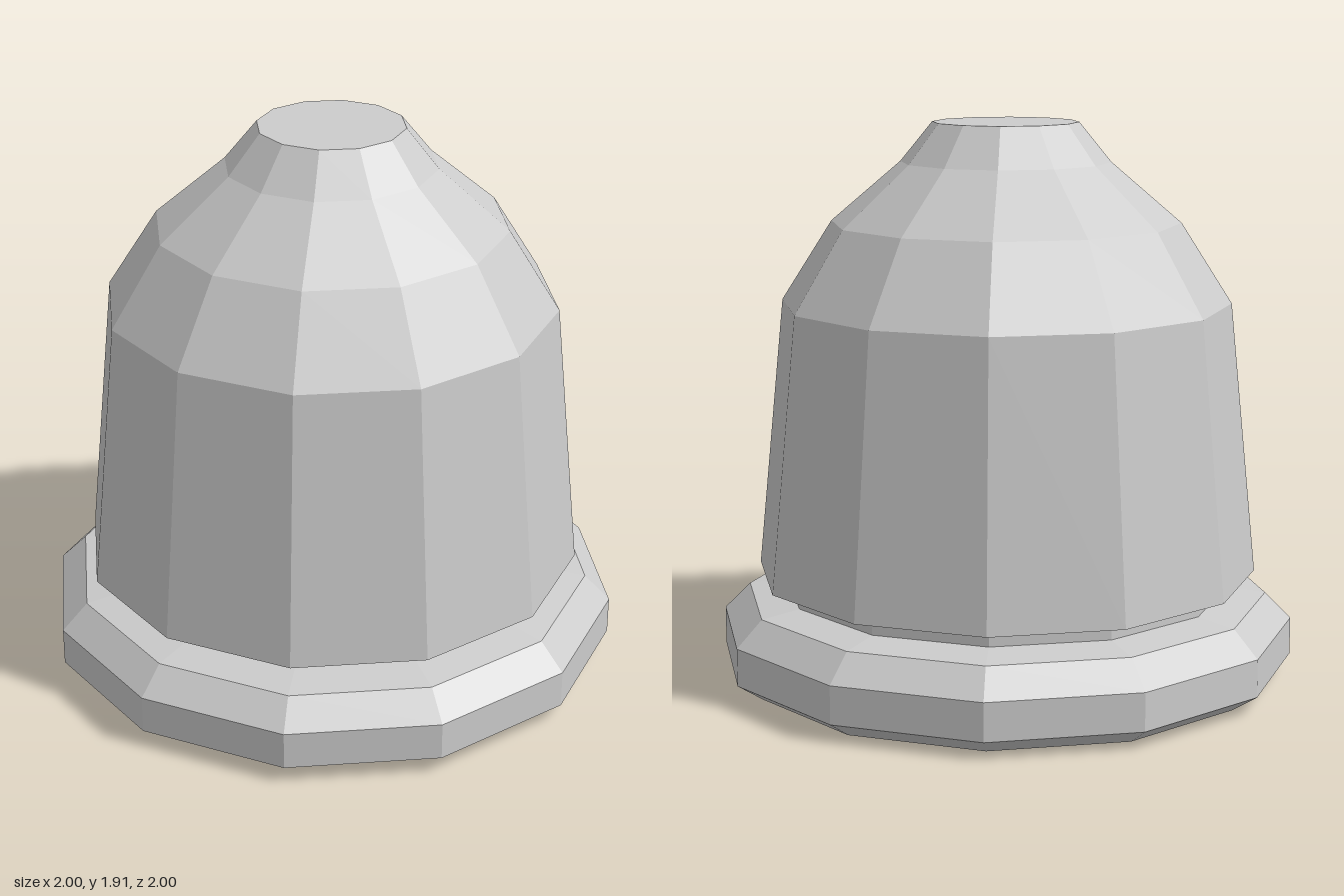
import * as THREE from 'three';

const SIDES = 12;

export function createModel() {
  const group = new THREE.Group();
  const grey = new THREE.MeshStandardMaterial({ color: 0xcccccc });
  grey.name = 'light grey';

  // Faceted turned part from [radius, height] pairs, listed bottom to top
  function turned(name, profile) {
    const points = profile.map(([r, y]) => new THREE.Vector2(r, y));
    const geometry = new THREE.LatheGeometry(points, SIDES).toNonIndexed();
    geometry.computeVertexNormals(); // flat facets
    const mesh = new THREE.Mesh(geometry, grey);
    mesh.name = name;
    group.add(mesh);
  }

  // Chevron-edged foot with a shallow sloping top, running into the neck
  turned('baseAndNeck', [
    [0, 0], [0.91, 0], [1, 0.06], [1, 0.19], [0.91, 0.28], [0.775, 0.3], [0.775, 0.36],
  ]);

  // Overhanging underside, tapered wall, shoulders and flat top
  turned('domedBody', [
    [0.775, 0.36], [0.87, 0.36], [0.775, 1.3], [0.6, 1.575],
    [0.36, 1.78], [0.25, 1.915], [0, 1.915],
  ]);

  return group;
}
